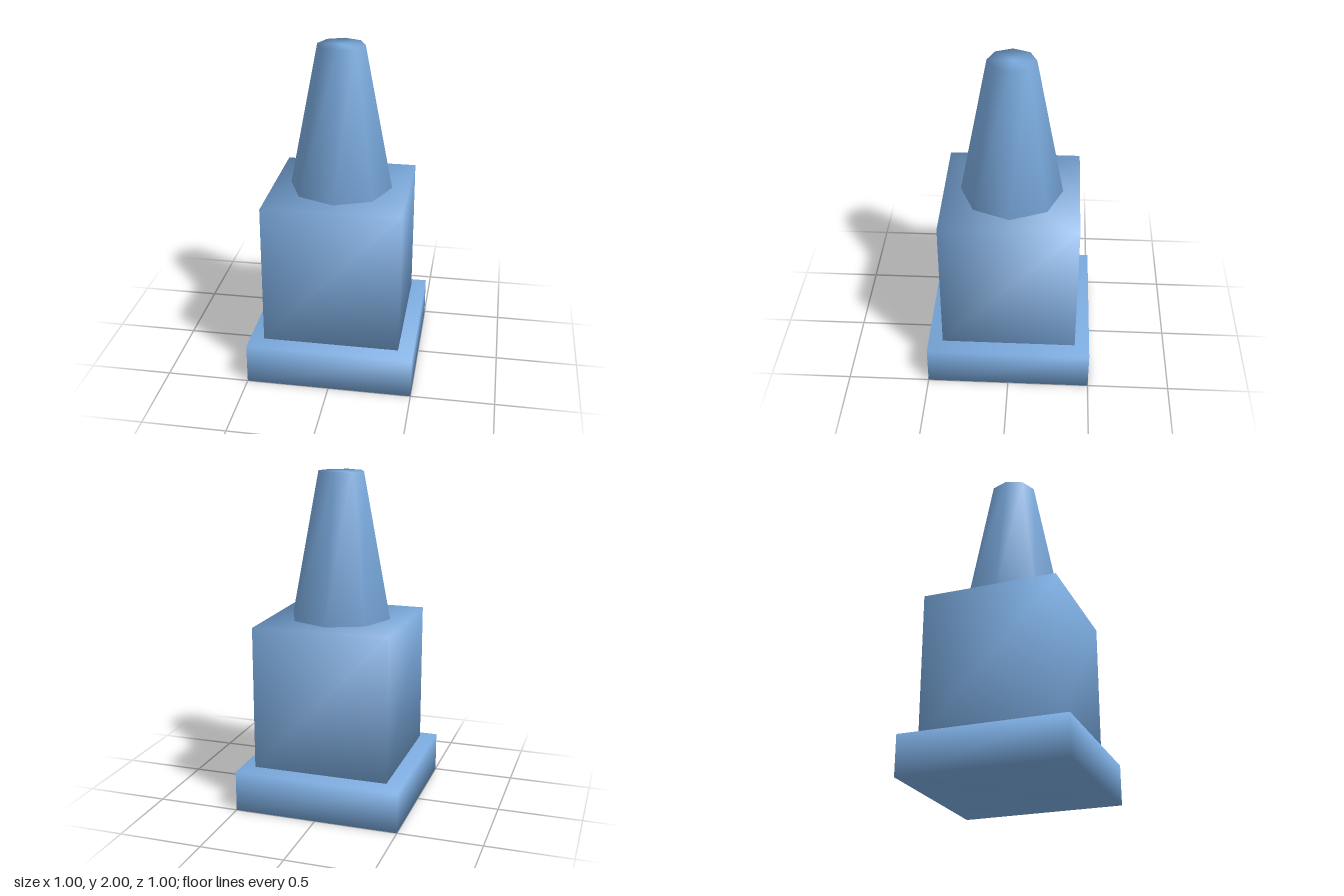
import * as THREE from 'three';
import { mergeVertices } from 'three/addons/utils/BufferGeometryUtils.js';

// Weld corners so normals blend softly across every edge
function soften(geometry) {
  geometry.deleteAttribute('normal');
  geometry.deleteAttribute('uv');
  const welded = mergeVertices(geometry, 1e-4);
  welded.computeVertexNormals();
  return welded;
}

export function createModel() {
  const group = new THREE.Group();
  group.name = 'steppedTower';
  const blue = new THREE.MeshStandardMaterial({ color: 0x7aaade });
  blue.name = 'softBlue';

  function addPart(name, geometry, bottom, top) {
    const mesh = new THREE.Mesh(soften(geometry), blue);
    mesh.name = name;
    mesh.position.y = (bottom + top) / 2;
    group.add(mesh);
  }

  // Three stacked parts separated by narrow gaps
  addPart('basePlinth', new THREE.BoxGeometry(1, 0.245, 1), 0, 0.245);
  addPart('middleBlock', new THREE.BoxGeometry(0.82, 0.865, 0.82), 0.256, 1.121);
  // Eight-sided tapered spire with a flat top
  addPart('spire', new THREE.CylinderGeometry(0.14, 0.308, 0.868, 8), 1.132, 2);

  return group;
}
